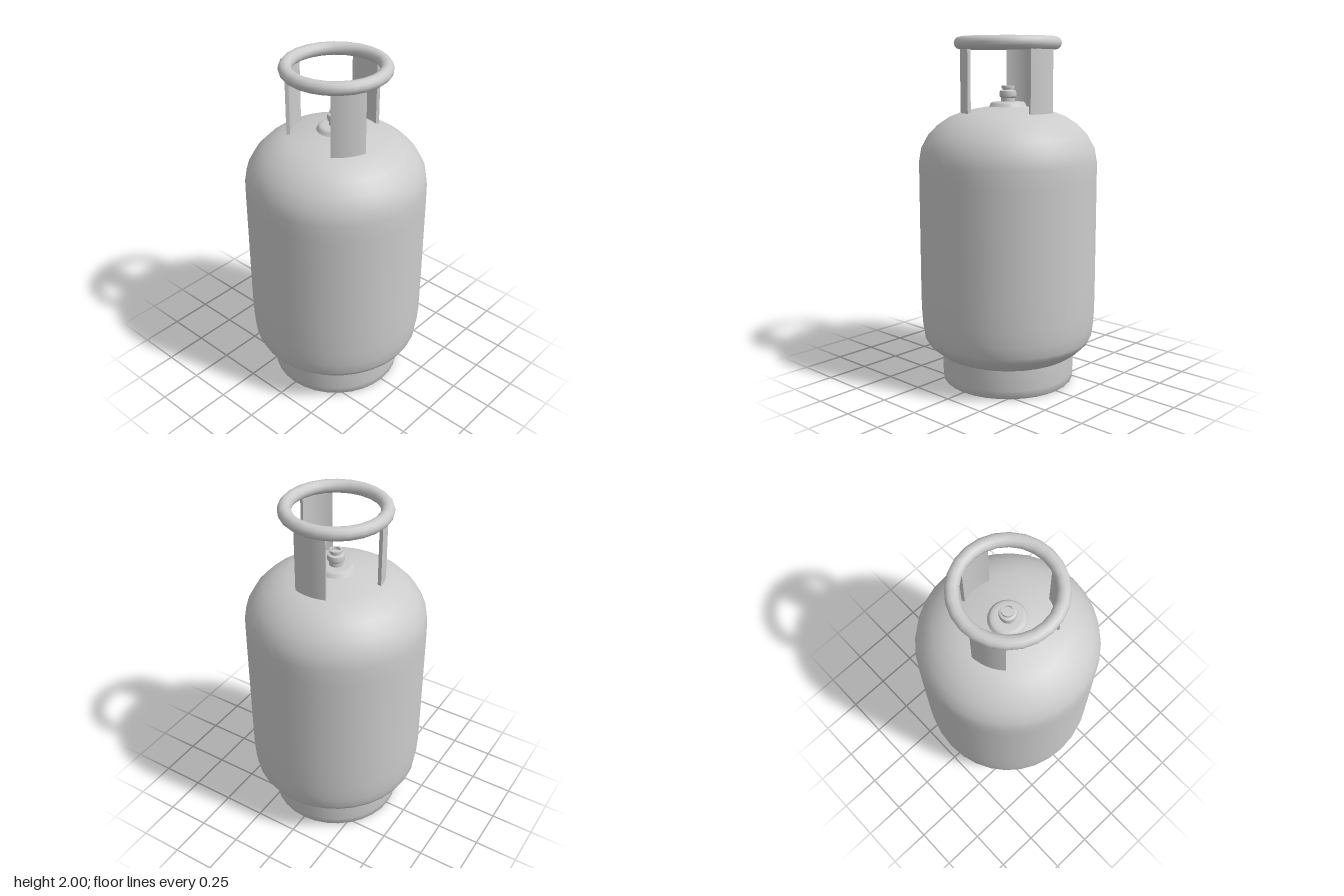
import * as THREE from 'three';
import { toCreasedNormals } from 'three/addons/utils/BufferGeometryUtils.js';

const material = new THREE.MeshStandardMaterial({ color: 0xcccccc });

function addMesh(group, name, geometry) {
  const mesh = new THREE.Mesh(geometry, material);
  mesh.name = name;
  group.add(mesh);
  return mesh;
}

// Revolves [radius, height] pairs, listed from the bottom axis outwards and up.
function revolve(profile, segments, crease) {
  const points = profile.map(([r, y]) => new THREE.Vector2(r, y));
  const geometry = new THREE.LatheGeometry(points, segments);
  return crease ? toCreasedNormals(geometry, crease) : geometry;
}

// Curved upright plate; the angle is measured from +z towards +x.
function supportPlate(angle, halfSpan, inner, outer, bottom, top) {
  const start = THREE.MathUtils.degToRad(angle - halfSpan - 90);
  const end = THREE.MathUtils.degToRad(angle + halfSpan - 90);
  const shape = new THREE.Shape();
  shape.absarc(0, 0, outer, start, end, false);
  shape.absarc(0, 0, inner, end, start, true);
  const geometry = new THREE.ExtrudeGeometry(shape, { depth: top - bottom, bevelEnabled: false, curveSegments: 6 });
  geometry.rotateX(-Math.PI / 2);
  geometry.translate(0, bottom, 0);
  return toCreasedNormals(geometry, 0.6);
}

export function createModel() {
  const model = new THREE.Group();
  model.name = 'gasCylinder';

  // Foot ring with a rounded rim and a hollow underside
  addMesh(model, 'footRing', revolve([
    [0, 0.12], [0.1, 0.115], [0.19, 0.098], [0.25, 0.073], [0.29, 0.04], [0.305, 0.012],
    [0.325, 0.002], [0.35, 0], [0.375, 0], [0.383, 0.008], [0.387, 0.05], [0.388, 0.19],
  ], 32, 0.9));

  // Tank with a tapered lower edge and domed shoulder
  addMesh(model, 'tank', revolve([
    [0.36, 0.155], [0.4, 0.175], [0.44, 0.205], [0.478, 0.242], [0.495, 0.275],
    [0.504, 0.34], [0.51, 0.43], [0.511, 0.6], [0.511, 1.2], [0.51, 1.3],
    [0.497, 1.375], [0.457, 1.448], [0.4, 1.507], [0.335, 1.55],
    [0.27, 1.576], [0.175, 1.598], [0.09, 1.612],
  ], 32));

  // Low boss around the valve seat
  addMesh(model, 'valveBoss', revolve([
    [0.112, 1.605], [0.103, 1.615], [0.099, 1.626], [0.09, 1.635], [0.07, 1.637], [0, 1.637],
  ], 24));

  // Valve stem with a nut and a recessed outlet
  addMesh(model, 'valve', revolve([
    [0.039, 1.63], [0.039, 1.658], [0.047, 1.665], [0.049, 1.682], [0.046, 1.698],
    [0.03, 1.703], [0.03, 1.709], [0.036, 1.711], [0.036, 1.726], [0.024, 1.726],
    [0.024, 1.712], [0, 1.712],
  ], 20, 0.6));

  // Three plates carrying the handle
  const supports = new THREE.Group();
  supports.name = 'handleSupports';
  model.add(supports);
  const plates = { leftSupport: 56.6, rightSupport: -66, backSupport: 180 };
  for (const [name, angle] of Object.entries(plates)) {
    addMesh(supports, name, supportPlate(angle, 20.5, 0.25, 0.27, 1.573, 1.95));
  }

  // Round carrying handle
  const handle = addMesh(model, 'handleRing', new THREE.TorusGeometry(0.268, 0.0365, 12, 24));
  handle.rotation.x = Math.PI / 2;
  handle.position.y = 1.9635;

  return model;
}
